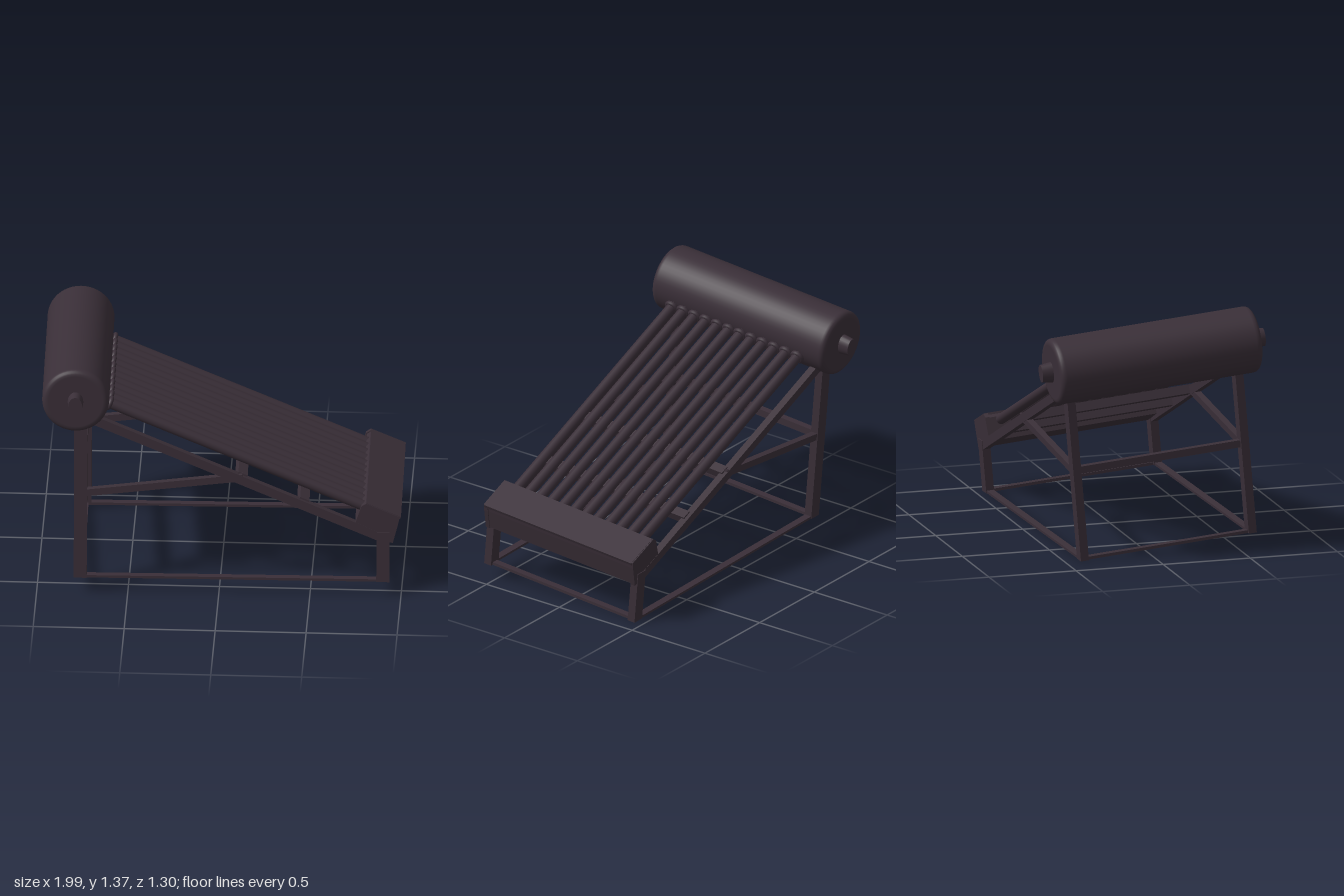
import * as THREE from 'three';

export function createModel() {
  const model = new THREE.Group();
  const dark = new THREE.MeshStandardMaterial({ color: 0x3a2f38 });
  dark.name = 'dark plum metal';

  // The whole heater sits slightly tilted and turned.
  const heater = new THREE.Group();
  heater.name = 'solarWaterHeater';
  heater.rotation.set(-0.0855, 0.021, 0);
  heater.position.set(0, 0.044, 0.075);
  model.add(heater);

  const add = (name, geometry, x = 0, y = 0, z = 0) => {
    const mesh = new THREE.Mesh(geometry, dark);
    mesh.name = name;
    mesh.position.set(x, y, z);
    heater.add(mesh);
    return mesh;
  };
  const box = (name, w, h, d, x, y, z) => add(name, new THREE.BoxGeometry(w, h, d), x, y, z);
  // Bar in the xy plane between two points
  const bar = (name, x0, y0, x1, y1, z, h, d) => {
    const mesh = box(name, Math.hypot(x1 - x0, y1 - y0), h, d, (x0 + x1) / 2, (y0 + y1) / 2, z);
    mesh.rotation.z = Math.atan2(y1 - y0, x1 - x0);
    return mesh;
  };

  // Storage tank with rounded rims
  const tankX = -0.8, tankY = 1.092, half = 0.585, R = 0.184, bevel = 0.03;
  const profile = [new THREE.Vector2(0, -half), new THREE.Vector2(R - bevel - 0.004, -half)];
  const rim = [];
  for (let i = 0; i <= 5; i++) {
    const a = (i / 5) * Math.PI / 2;
    rim.push([R - bevel + bevel * Math.sin(a), half - bevel + bevel * Math.cos(a)]);
  }
  rim.forEach(([r, y]) => profile.push(new THREE.Vector2(r, -y)));
  profile.push(new THREE.Vector2(R, -half + bevel + 0.005), new THREE.Vector2(R, half - bevel - 0.005));
  rim.reverse().forEach(([r, y]) => profile.push(new THREE.Vector2(r, y)));
  profile.push(new THREE.Vector2(R - bevel - 0.004, half), new THREE.Vector2(0, half));
  const tankGeometry = new THREE.LatheGeometry(profile, 48);
  tankGeometry.rotateX(Math.PI / 2);
  add('tank', tankGeometry, tankX, tankY, 0);

  // Oval tapered knobs on both tank ends
  for (const s of [1, -1]) {
    const knob = new THREE.CylinderGeometry(0.05, 0.058, 0.07, 24);
    knob.rotateX(s * Math.PI / 2);
    knob.scale(0.76, 1, 1);
    add('tankKnob', knob, tankX, tankY, s * (half + 0.026));
  }

  // Row of vacuum tubes with collars at the tank
  const slope = -0.4265, angle = Math.atan(slope);
  const tubeY = x => 1.01 + slope * (x + 0.59);
  const x0 = -0.7, x1 = 0.82, length = (x1 - x0) / Math.cos(angle);
  for (let i = 0; i < 12; i++) {
    const z = (i - 5.5) * 0.0773 + 0.01;
    const tube = add('vacuumTube', new THREE.CylinderGeometry(0.029, 0.029, length, 20),
      (x0 + x1) / 2, tubeY((x0 + x1) / 2), z);
    tube.rotation.z = angle + Math.PI / 2;
    const collar = add('tubeCollar', new THREE.TorusGeometry(0.03, 0.013, 10, 24), -0.616, tubeY(-0.616), z);
    collar.rotation.set(0, Math.PI / 2, 0);
    collar.rotation.order = 'ZYX';
    collar.rotation.z = angle;
  }

  // Lower tube holder: folded section run across the width, with end caps
  const section = [[0.775, 0.447], [0.80, 0.462], [0.975, 0.388], [0.968, 0.35],
    [0.94, 0.24], [0.90, 0.25], [0.735, 0.325]];
  const holder = (name, depth, z, grow) => {
    const cx = 0.865, cy = 0.35;
    const shape = new THREE.Shape(section.map(([x, y]) =>
      new THREE.Vector2(cx + (x - cx) * grow, cy + (y - cy) * grow)));
    add(name, new THREE.ExtrudeGeometry(shape, { depth, bevelEnabled: false }), 0, 0, z - depth / 2);
  };
  holder('tubeHolder', 0.98, 0, 1);
  holder('holderEndCap', 0.025, 0.493, 1.05);
  holder('holderEndCap', 0.025, -0.493, 1.05);
  bar('holderLip', 0.795, 0.462, 0.985, 0.382, 0, 0.016, 1.0);

  // Support frame, mirrored on both sides
  const backX = -0.772, frontX = 0.89, legZ = 0.487;
  const railY = x => 0.92 - 0.43 * (x + 0.64);
  for (const s of [1, -1]) {
    const z = s * legZ;
    box('backLeg', 0.072, 0.98, 0.046, backX, 0.49, z);
    box('frontLeg', 0.072, 0.3, 0.046, frontX, 0.15, z);
    box('baseSideBar', frontX - backX, 0.014, 0.04, (frontX + backX) / 2, 0.008, z);
    bar('slopedRail', -0.79, railY(-0.79), 0.89, railY(0.89), z, 0.05, 0.04);
    bar('diagonalBrace', backX, 0.505, 0.12, 0.612, z, 0.04, 0.036);
  }

  // Cross members between the two sides
  box('baseBackBar', 0.04, 0.016, legZ * 2, backX, 0.008, 0);
  box('baseFrontBar', 0.04, 0.016, legZ * 2, frontX, 0.008, 0);
  box('backCrossBar', 0.04, 0.04, legZ * 2, backX, 0.51, 0);
  for (const x of [0.11, 0.45]) {
    const cross = box('railCrossBar', 0.055, 0.05, legZ * 2, x, railY(x) + 0.01, 0);
    cross.rotation.z = angle;
  }

  return model;
}
